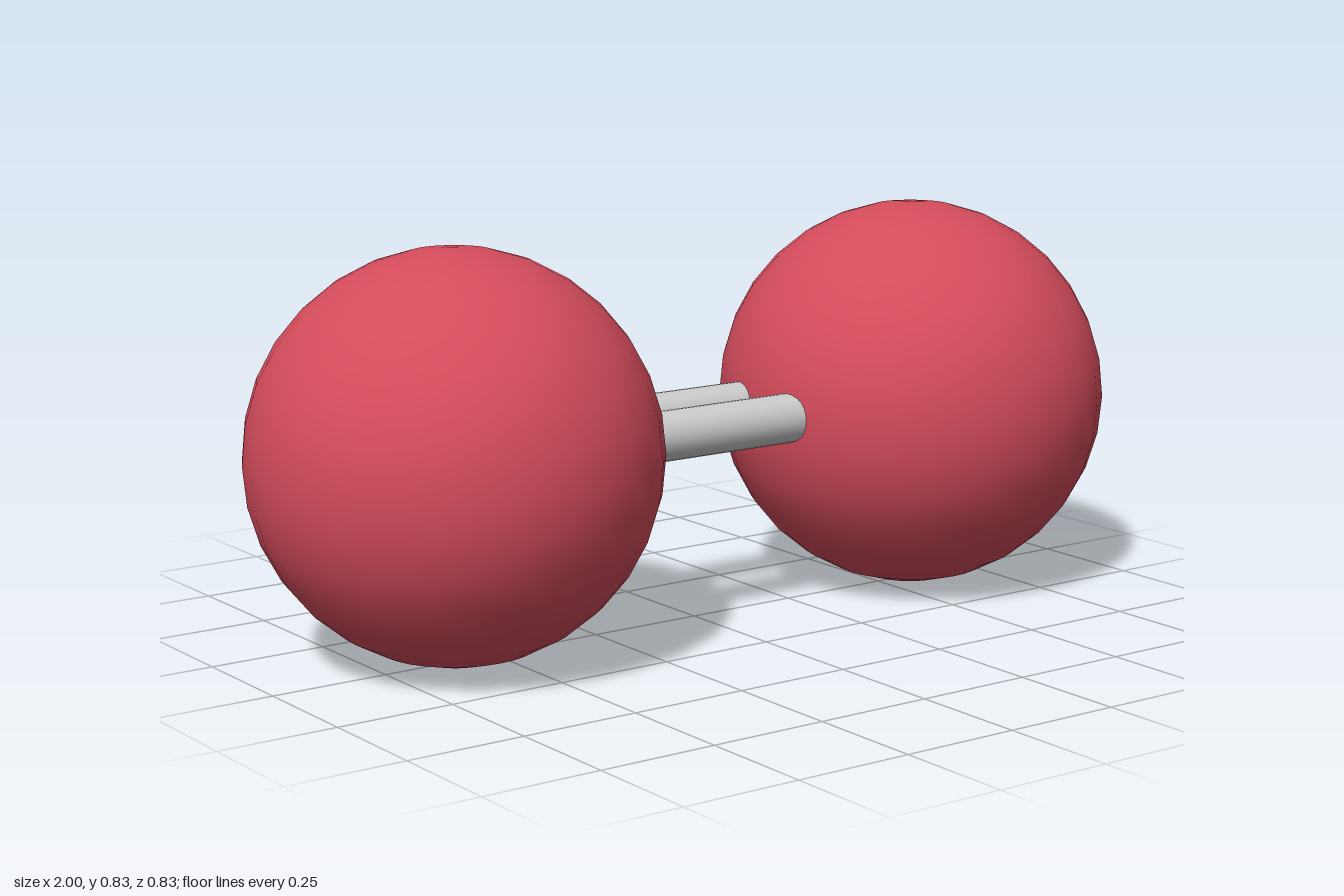
import * as THREE from 'three';

export function createModel() {
  const model = new THREE.Group();
  model.name = 'diatomicMolecule';

  const radius = 0.417;
  const centreX = 0.583;
  const red = new THREE.MeshStandardMaterial({ color: 0xd54c5c });
  const grey = new THREE.MeshStandardMaterial({ color: 0xcccccc });

  // Two equal atoms, left and right
  const atomGeometry = new THREE.SphereGeometry(radius, 32, 16);
  for (const [name, side] of [['leftAtom', 1], ['rightAtom', -1]]) {
    const atom = new THREE.Mesh(atomGeometry, red);
    atom.name = name;
    atom.position.set(side * centreX, radius, 0);
    model.add(atom);
  }

  // Double bond: two parallel rods running between the atom centres
  const bondGeometry = new THREE.CylinderGeometry(0.052, 0.052, 2 * centreX, 24);
  bondGeometry.rotateZ(Math.PI / 2);
  for (const [name, side] of [['frontBond', 1], ['backBond', -1]]) {
    const bond = new THREE.Mesh(bondGeometry, grey);
    bond.name = name;
    bond.position.set(0, radius, side * 0.082);
    model.add(bond);
  }

  return model;
}
